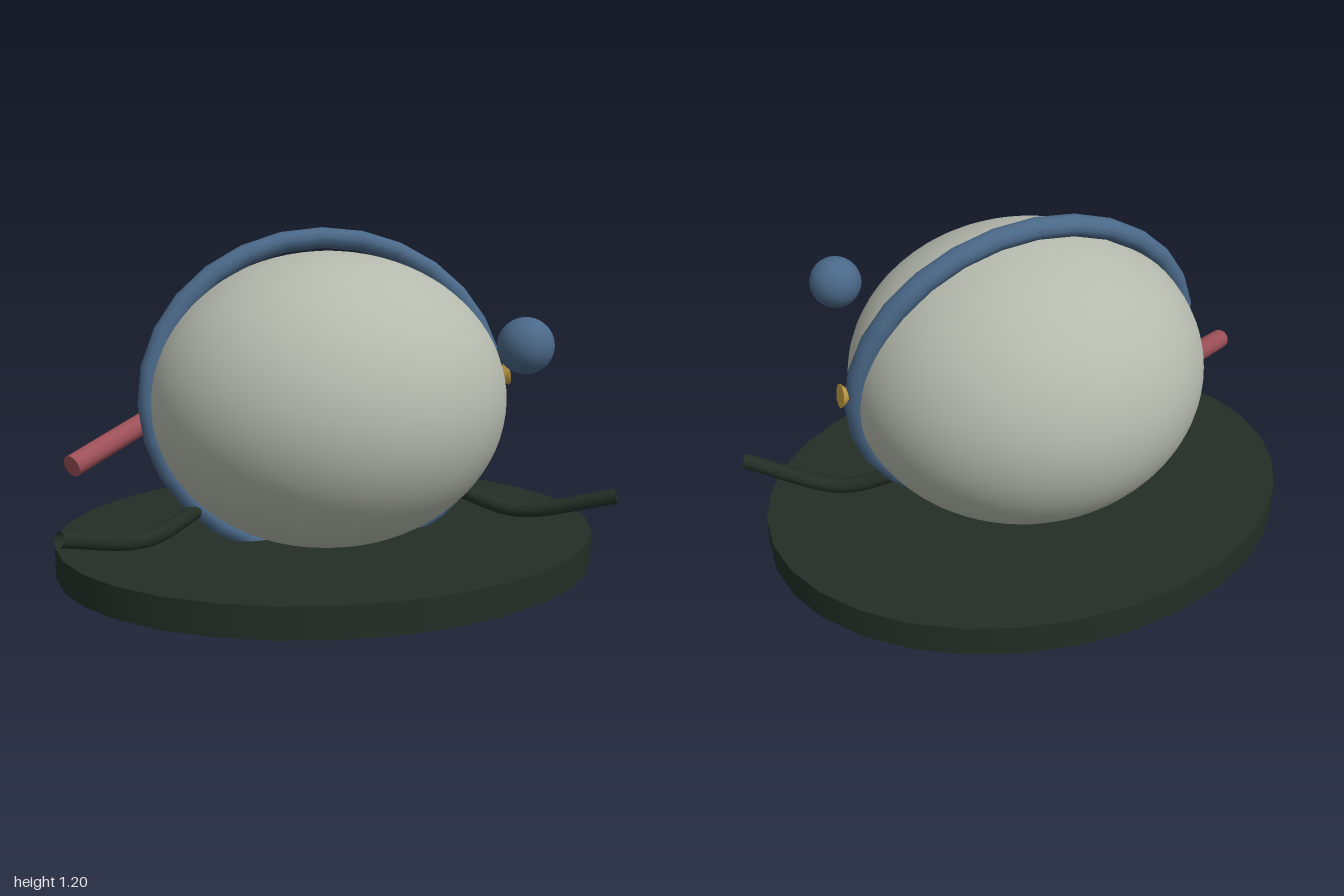
import * as THREE from 'three';

function material(name, color, side = THREE.FrontSide) {
  const m = new THREE.MeshStandardMaterial({ color, side });
  m.name = name;
  return m;
}

export function createModel() {
  const model = new THREE.Group();
  model.name = 'model';

  const stone = material('pale stone', 0xb6baae);
  const green = material('dark green', 0x232e25, THREE.DoubleSide);
  const blue = material('slate blue', 0x4a6888);
  const red = material('dusty red', 0x9e5058);
  const gold = material('gold', 0xc49e48);

  const add = (name, geometry, mat) => {
    const mesh = new THREE.Mesh(geometry, mat);
    mesh.name = name;
    model.add(mesh);
    return mesh;
  };

  // Oval base plate
  const base = add('base', new THREE.CylinderGeometry(1, 1, 0.11, 32), green);
  base.scale.set(0.985, 1, 0.817);
  base.position.y = 0.055;

  // Rounded body, slightly sunk into the base
  const body = add('body', new THREE.SphereGeometry(1, 64, 40), stone);
  body.scale.set(0.645, 0.53, 0.615);
  body.position.y = 0.59;

  // Oval band leaning back over the body
  const band = add('band', new THREE.TorusGeometry(0.643, 0.042, 12, 28), blue);
  band.scale.y = 0.882;
  band.rotation.x = -0.138;
  band.position.y = 0.602;

  // Floating ball
  const ball = add('ball', new THREE.SphereGeometry(0.095, 32, 20), blue);
  ball.position.set(0.545, 0.83, 0.49);

  // Small cone stud on the band, its flat end outward
  const stud = add('stud', new THREE.ConeGeometry(0.043, 0.055, 10), gold);
  stud.rotation.z = Math.PI / 2 + 0.15;
  stud.position.set(0.67, 0.645, 0);

  // Straight peg leaving the body's right side
  const outer = new THREE.Vector3(-0.922, 0.428, 0.125);
  const inner = new THREE.Vector3(-0.5, 0.575, -0.2);
  const direction = outer.clone().sub(inner);
  const peg = add('peg', new THREE.CylinderGeometry(0.038, 0.038, direction.length(), 16), red);
  peg.position.copy(inner).lerp(outer, 0.5);
  peg.quaternion.setFromUnitVectors(new THREE.Vector3(0, 1, 0), direction.normalize());

  // Mirrored curved arms
  for (const side of [1, -1]) {
    const path = new THREE.CatmullRomCurve3([
      new THREE.Vector3(side * 0.49, 0.23, 0.065),
      new THREE.Vector3(side * 0.68, 0.167, 0.165),
      new THREE.Vector3(side * 0.983, 0.247, 0.355),
    ]);
    add(side > 0 ? 'leftArm' : 'rightArm', new THREE.TubeGeometry(path, 20, 0.028, 10), green);
  }

  return model;
}
